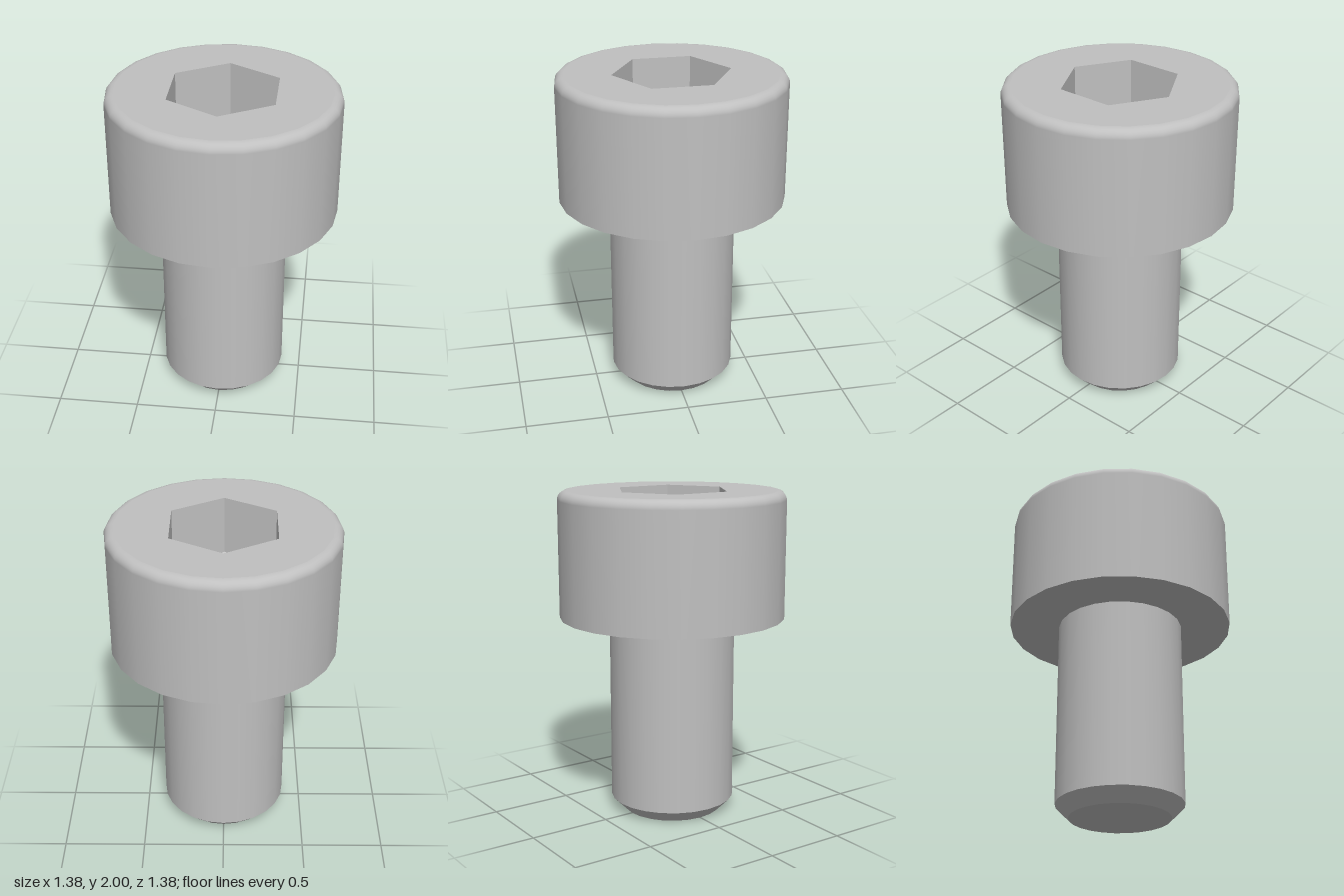
import * as THREE from 'three';

const SIDES = 24;
const HEAD_R = 0.69, HEAD_Y = 1.23, TOP_Y = 2, FILLET = 0.055;
const SHANK_R = 0.385, CHAMFER = 0.08;
const HEX_R = 0.357, SOCKET_Y = 1.64, POINT_DEPTH = 0.2;

// Regular polygon with a corner on the z axis, as the lathes have
function polygon(radius, sides) {
  return Array.from({ length: sides }, (_, i) => {
    const a = (i / sides) * Math.PI * 2;
    return new THREE.Vector2(Math.sin(a) * radius, Math.cos(a) * radius);
  });
}

export function createModel() {
  const group = new THREE.Group();
  const steel = new THREE.MeshStandardMaterial({ color: 0xc0c0c0 });
  steel.name = 'steel grey';

  function add(name, geometry) {
    const mesh = new THREE.Mesh(geometry, steel);
    mesh.name = name;
    group.add(mesh);
  }
  // Each band is turned separately, so the edges between bands stay sharp
  function turn(name, points) {
    add(name, new THREE.LatheGeometry(points.map(([r, y]) => new THREE.Vector2(r, y)), SIDES));
  }

  // Shank with chamfered tip
  turn('shankTip', [[0, 0], [SHANK_R - CHAMFER, 0]]);
  turn('shankChamfer', [[SHANK_R - CHAMFER, 0], [SHANK_R, CHAMFER]]);
  turn('shank', [[SHANK_R, CHAMFER], [SHANK_R, HEAD_Y]]);

  // Head underside, then wall running into the rounded rim
  turn('headUnderside', [[SHANK_R, HEAD_Y], [HEAD_R, HEAD_Y]]);
  const wall = [[HEAD_R, HEAD_Y]];
  for (let i = 0; i <= 6; i++) {
    const a = (i / 6) * Math.PI / 2;
    wall.push([HEAD_R - FILLET + FILLET * Math.cos(a), TOP_Y - FILLET + FILLET * Math.sin(a)]);
  }
  turn('headWall', wall);

  // Flat top face with hexagonal opening
  const face = new THREE.Shape(polygon(HEAD_R - FILLET, SIDES));
  face.holes.push(new THREE.Path(polygon(HEX_R, 6)));
  add('headTop', new THREE.ShapeGeometry(face).rotateX(-Math.PI / 2).translate(0, TOP_Y, 0));

  // Socket walls face inward; they reach just past the conical floor
  const hex = new THREE.LatheGeometry(
    [new THREE.Vector2(HEX_R, TOP_Y), new THREE.Vector2(HEX_R, SOCKET_Y - 0.03)], 6).toNonIndexed();
  hex.computeVertexNormals();
  add('socketWalls', hex);
  turn('socketFloor', [[HEX_R, SOCKET_Y], [0, SOCKET_Y - POINT_DEPTH]]);

  return group;
}
